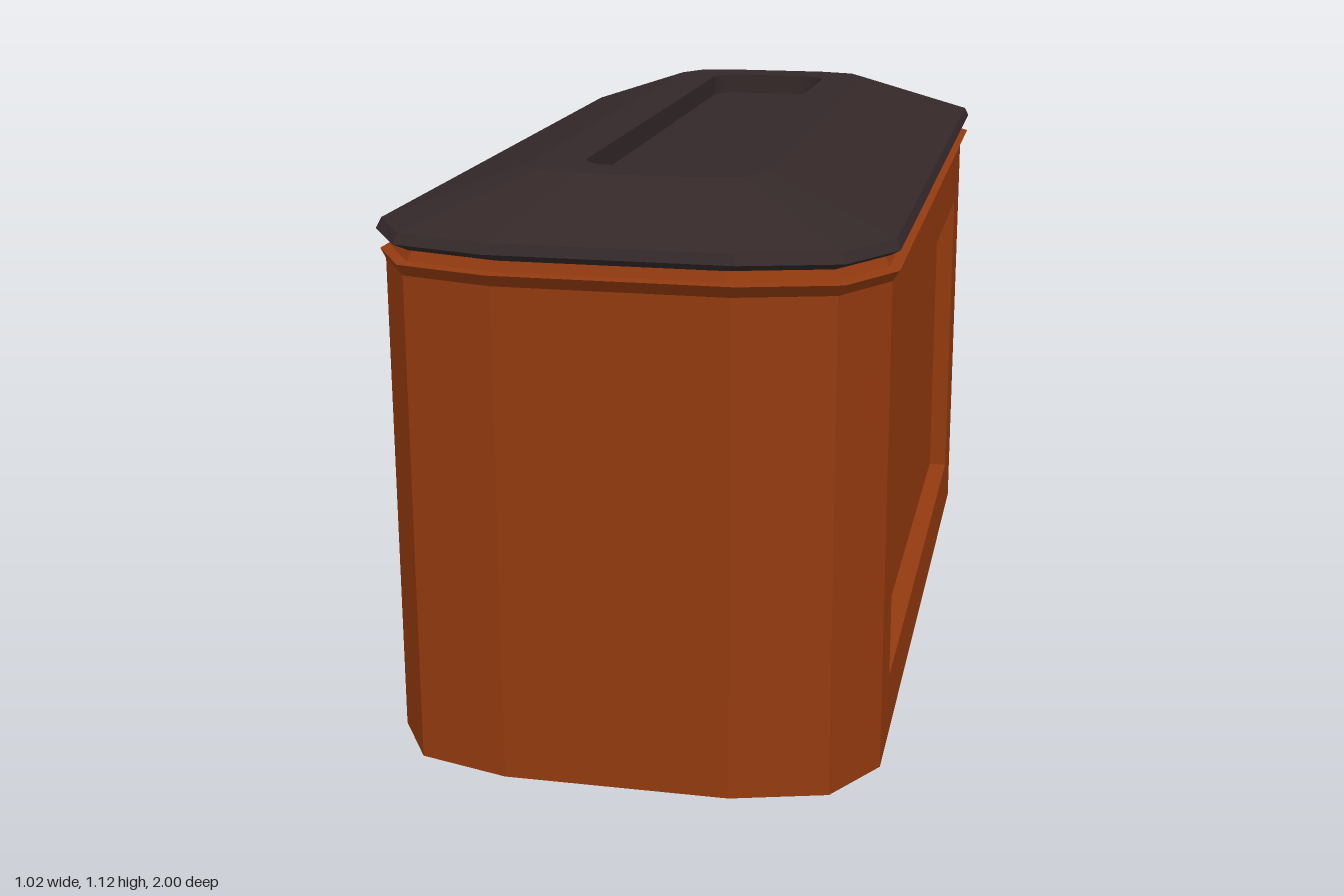
import * as THREE from 'three';

const CX = 0.015; // the box sits slightly off centre because of the latch

// Twelve-sided outline with double-chamfered corners; k scales the chamfers
function outline(cx, hx, hz, k = 1) {
  const q = [[hx, hz - 0.18 * k], [hx - 0.08 * k, hz - 0.05 * k], [hx - 0.26 * k, hz]];
  const r = [...q].reverse();
  const flip = (pts, sx, sz) => pts.map(([x, z]) => [cx + x * sx, z * sz]);
  return [...flip(q, 1, 1), ...flip(r, -1, 1), ...flip(q, -1, -1), ...flip(r, 1, -1)];
}

// Faceted shell through rings [y, cx, hx, hz, k]; skip(band, side) leaves openings
function loft(rings, { bottom = true, top = true, skip = () => false } = {}) {
  const loops = rings.map(([y, cx, hx, hz, k]) =>
    outline(cx, hx, hz, k).map(([x, z]) => [x, y, z]));
  const n = loops[0].length, pos = [];
  const tri = (...pts) => pts.forEach(p => pos.push(...p));
  for (let j = 0; j < loops.length - 1; j++) {
    for (let i = 0; i < n; i++) {
      if (skip(j, i)) continue;
      const m = (i + 1) % n, lo = loops[j], hi = loops[j + 1];
      tri(lo[i], hi[i], lo[m]);
      tri(lo[m], hi[i], hi[m]);
    }
  }
  const first = loops[0], last = loops[loops.length - 1];
  for (let i = 0; i < n; i++) {
    const m = (i + 1) % n;
    if (bottom) tri([CX, first[0][1], 0], first[i], first[m]);
    if (top) tri([CX, last[0][1], 0], last[m], last[i]);
  }
  const g = new THREE.BufferGeometry();
  g.setAttribute('position', new THREE.Float32BufferAttribute(pos, 3));
  g.computeVertexNormals();
  return g;
}

function roundedRect(target, cx, hx, hz, r) {
  const corners = [[1, 1, 0], [-1, 1, 1], [-1, -1, 2], [1, -1, 3]];
  for (const [sx, sz, turn] of corners) {
    const a = turn * Math.PI / 2;
    target.absarc(cx + sx * (hx - r), sz * (hz - r), r, a, a + Math.PI / 2, false);
  }
  target.closePath();
  return target;
}

function rectPath(target, hx, y0, y1) {
  target.moveTo(-hx, y0);
  target.lineTo(hx, y0);
  target.lineTo(hx, y1);
  target.lineTo(-hx, y1);
  target.closePath();
  return target;
}

export function createModel() {
  const mat = (name, color) => {
    const m = new THREE.MeshStandardMaterial({ color });
    m.name = name;
    return m;
  };
  const orange = mat('burnt orange', 0x933a0f);
  const dark = mat('dark brown', 0x342829);
  const grey = mat('stone grey', 0x8a8278);

  const root = new THREE.Group();
  root.name = 'container';
  const add = (name, geometry, material) => {
    const m = new THREE.Mesh(geometry, material);
    m.name = name;
    root.add(m);
    return m;
  };

  // Body with flared lip and neck; the long sides are left open for the panels
  add('body', loft([
    [0.002, CX, 0.475, 0.97],
    [0.955, CX, 0.475, 0.97],
    [0.98, 0.022, 0.483, 0.995],
    [0.98, CX, 0.468, 0.965],
    [1.01, CX, 0.455, 0.955],
  ], { skip: (band, side) => band === 0 && (side === 5 || side === 11) }), orange);

  // Long sides with a recessed panel
  const frame = rectPath(new THREE.Shape(), 0.79, 0.002, 0.955);
  frame.holes.push(rectPath(new THREE.Path(), 0.655, 0.13, 0.825));
  const frameGeo = new THREE.ExtrudeGeometry(frame, { depth: 0.04, bevelEnabled: false });
  for (const s of [1, -1]) {
    const f = add('sideFrame', frameGeo, orange);
    f.rotation.y = s * Math.PI / 2;
    f.position.x = CX + s * 0.435;
    const p = add('sidePanel', new THREE.BoxGeometry(0.01, 0.75, 1.36), orange);
    p.position.set(CX + s * 0.43, 0.478, 0);
  }

  // Lid rim and sloping shoulders
  const LX = 0.02;
  add('lid', loft([
    [1.003, LX, 0.465, 0.975],
    [1.018, LX, 0.486, 1.0],
    [1.037, LX, 0.478, 0.99],
    [1.125, LX, 0.23, 0.77, 0.45],
  ], { top: false }), dark);

  // Lid top with a sunken rounded slot
  const depth = 0.045;
  const top = new THREE.Shape(outline(LX, 0.23, 0.77, 0.45).map(([x, z]) => new THREE.Vector2(x, z)));
  top.holes.push(roundedRect(new THREE.Path(), LX, 0.135, 0.672, 0.06));
  const topGeo = new THREE.ExtrudeGeometry(top, { depth, bevelEnabled: false, curveSegments: 4 });
  topGeo.rotateX(-Math.PI / 2).translate(0, 1.125 - depth, 0);
  add('lidTop', topGeo, dark);
  const floorGeo = new THREE.ShapeGeometry(roundedRect(new THREE.Shape(), LX, 0.137, 0.674, 0.06), 4);
  floorGeo.rotateX(-Math.PI / 2).translate(0, 1.125 - depth, 0);
  add('slotFloor', floorGeo, dark);

  // Latch hanging from the lid edge
  const latch = new THREE.Shape([
    [-0.44, 1.02], [-0.462, 1.012], [-0.513, 0.935], [-0.51, 0.92], [-0.46, 0.89], [-0.44, 0.92],
  ].map(p => new THREE.Vector2(...p)));
  const latchGeo = new THREE.ExtrudeGeometry(latch, { depth: 0.2, bevelEnabled: false });
  latchGeo.translate(0, 0, -0.1);
  add('latch', latchGeo, dark);

  // Grey patch with a ragged edge under the base
  const patch = [[-0.38, 0.92], [-0.46, 0.79], [-0.46, -0.79], [-0.38, -0.92], [-0.2, -0.97]];
  for (let i = 1; i < 16; i++) {
    const t = i / 16;
    patch.push([-0.2 - 0.18 * t + 0.025 * Math.sin(i * 2.1), -0.97 + 1.89 * t]);
  }
  const patchGeo = new THREE.ShapeGeometry(new THREE.Shape(patch.map(p => new THREE.Vector2(...p))));
  patchGeo.rotateX(Math.PI / 2);
  patchGeo.scale(1, 1, -1); // mirror so the patch follows the outline
  const idx = patchGeo.index.array;
  for (let i = 0; i < idx.length; i += 3) [idx[i], idx[i + 1]] = [idx[i + 1], idx[i]];
  patchGeo.computeVertexNormals();
  add('basePatch', patchGeo, grey);

  return root;
}
